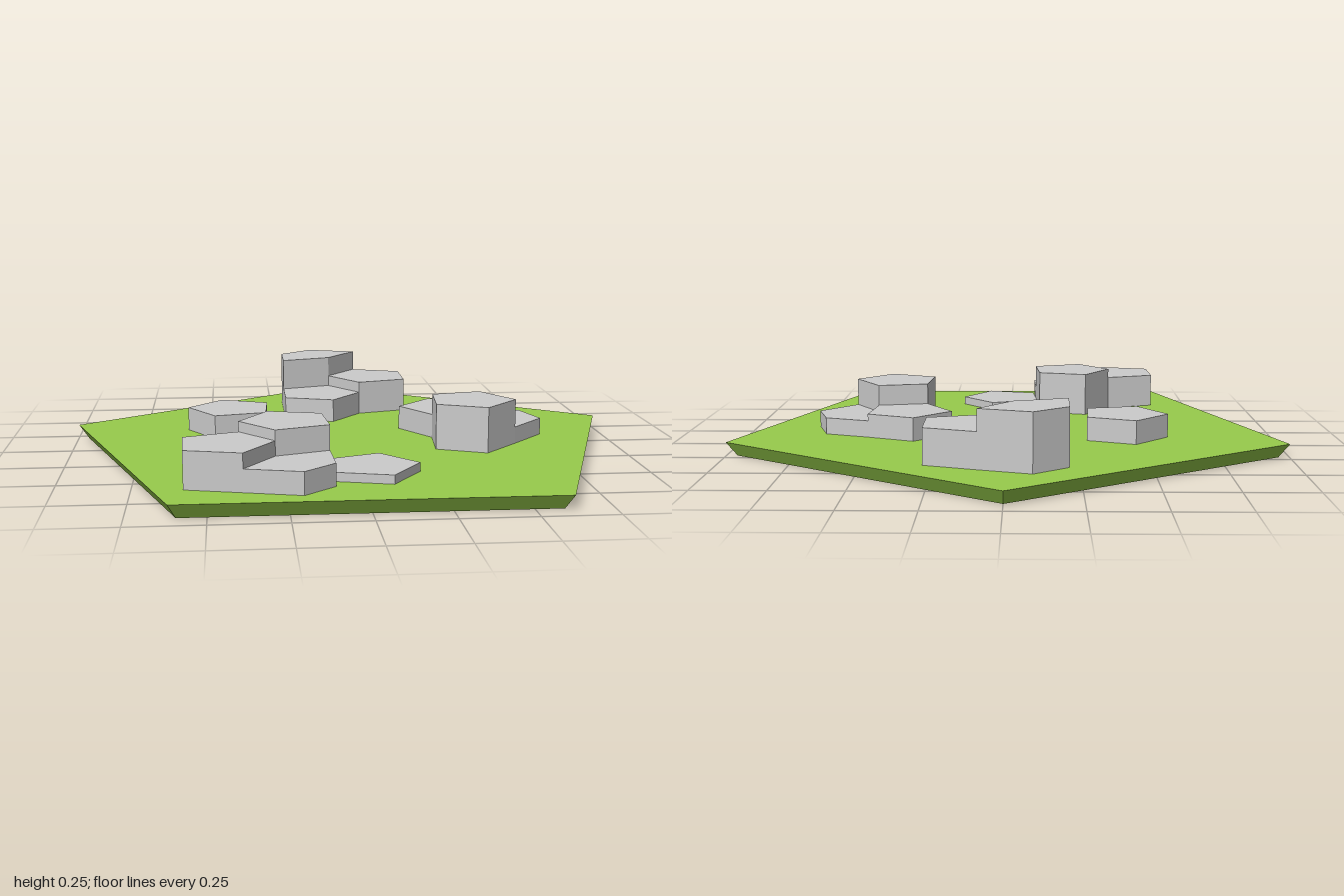
import * as THREE from 'three';

const GROUND = 0.05; // top of the grass slab

const grass = new THREE.MeshStandardMaterial({ color: 0x98cc4c, flatShading: true });
const stone = new THREE.MeshStandardMaterial({ color: 0xcccccc, flatShading: true });

// Five-sided stone column from an [x, z] outline, standing on the grass
function makeStone(name, top, outline) {
  const shape = new THREE.Shape(outline.map(([x, z]) => new THREE.Vector2(x, -z)));
  const geometry = new THREE.ExtrudeGeometry(shape, { depth: top - GROUND, bevelEnabled: false });
  geometry.rotateX(-Math.PI / 2);
  geometry.translate(0, GROUND, 0);
  const mesh = new THREE.Mesh(geometry, stone);
  mesh.name = name;
  return mesh;
}

// Each cluster: stones as [top height, outline]; neighbours share corners
const clusters = {
  backStones: [
    [0.25, [[-0.09, -0.72], [0.09, -0.66], [-0.025, -0.51], [-0.21, -0.45], [-0.21, -0.62]]],
    [0.175, [[0.09, -0.66], [0.27, -0.595], [0.27, -0.405], [0.085, -0.35], [-0.025, -0.51]]],
    [0.135, [[-0.21, -0.45], [-0.025, -0.51], [0.085, -0.35], [-0.03, -0.2], [-0.21, -0.26]]],
  ],
  leftStones: [
    [0.135, [[0.335, -0.195], [0.505, -0.12], [0.485, 0.07], [0.305, 0.11], [0.205, -0.055]]],
    [0.11, [[0.505, -0.12], [0.665, -0.06], [0.71, 0.09], [0.585, 0.235], [0.485, 0.07]]],
    [0.21, [[0.305, 0.11], [0.485, 0.07], [0.585, 0.235], [0.46, 0.375], [0.29, 0.3]]],
  ],
  frontStones: [
    [0.175, [[-0.58, 0.59], [-0.4, 0.525], [-0.285, 0.67], [-0.39, 0.83], [-0.575, 0.78]]],
    [0.21, [[-0.4, 0.525], [-0.3, 0.365], [-0.12, 0.415], [-0.105, 0.605], [-0.285, 0.67]]],
    [0.125, [[-0.285, 0.67], [-0.105, 0.605], [-0.1, 0.78], [-0.205, 0.88], [-0.39, 0.83]]],
    [0.08, [[-0.11, 0.535], [0.07, 0.465], [0.19, 0.61], [0.085, 0.77], [-0.095, 0.72]]],
  ],
  loneStone: [
    [0.135, [[-0.58, -0.1], [-0.455, -0.24], [-0.285, -0.17], [-0.295, 0.02], [-0.48, 0.065]]],
  ],
};

export function createModel() {
  const model = new THREE.Group();
  model.name = 'stoneTile';

  // Pentagonal grass slab, narrower underneath, one corner to the back
  const slab = new THREE.Mesh(
    new THREE.CylinderGeometry(1.05, 1.01, GROUND, 5, 1, false, Math.PI), grass);
  slab.name = 'grassSlab';
  slab.position.set(0, GROUND / 2, 0.1);
  model.add(slab);

  // Stone clusters
  for (const [name, stones] of Object.entries(clusters)) {
    const cluster = new THREE.Group();
    cluster.name = name;
    stones.forEach(([top, outline], i) => cluster.add(makeStone(`stone${i + 1}`, top, outline)));
    model.add(cluster);
  }
  return model;
}
